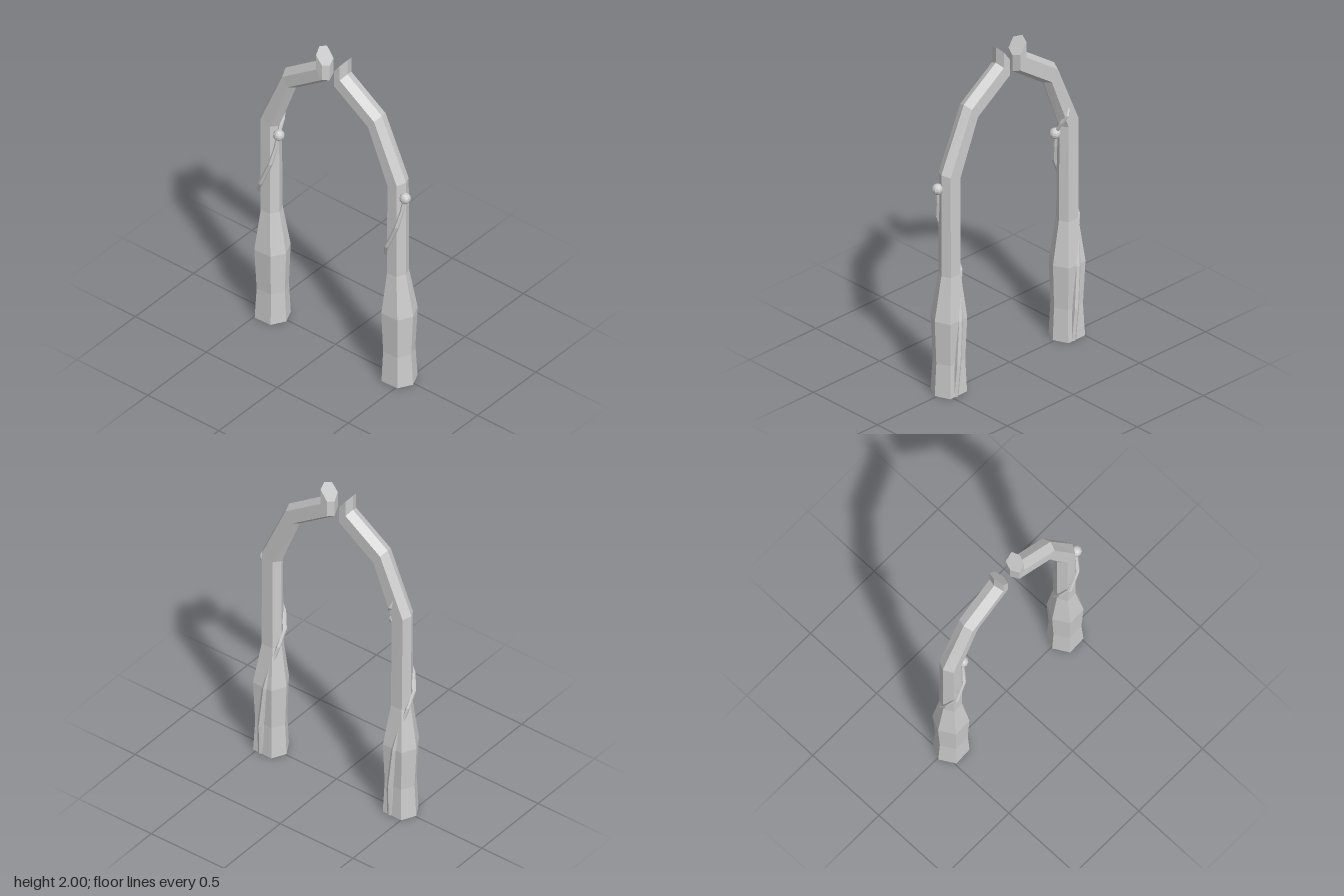
import * as THREE from 'three';

const material = new THREE.MeshStandardMaterial({ color: 0xcccccc, flatShading: true });

// Closed skin over rings of points; every ring has the same number of points.
function loft(name, rings) {
  const n = rings[0].length;
  const index = [];
  for (let i = 0; i < rings.length - 1; i++) {
    for (let j = 0; j < n; j++) {
      const a = i * n + j;
      const b = i * n + (j + 1) % n;
      index.push(a, b, b + n, a, b + n, a + n);
    }
  }
  const top = (rings.length - 1) * n;
  for (let j = 1; j < n - 1; j++) {
    index.push(0, j + 1, j, top, top + j, top + j + 1);
  }
  const geometry = new THREE.BufferGeometry();
  geometry.setAttribute('position', new THREE.Float32BufferAttribute(rings.flat(2), 3));
  geometry.setIndex(index);
  geometry.computeVertexNormals();
  const mesh = new THREE.Mesh(geometry, material);
  mesh.name = name;
  return mesh;
}

// Six-sided section: x offset, and position from the -z tip (0) to the +z tip (1)
const SECTION = [[0.05, 0.82], [0.05, 0.2], [0.002, 0], [-0.05, 0.25], [-0.047, 0.78], [0, 1]];

// Post rings: outer z, outer y, inner z, inner y, width scale, z shift on the back post
const PROFILE = [
  [0.555, 0, 0.35, 0, 1.68, 0.012],
  [0.543, 0.2, 0.36, 0.2, 1.5, 0.012],
  [0.555, 0.465, 0.35, 0.465, 1.7, 0.01],
  [0.505, 0.73, 0.385, 0.73, 1.05, 0],
  [0.505, 1.36, 0.385, 1.315, 1, -0.004],
  [0.335, 1.735, 0.26, 1.635, 1, -0.01],
  [0.093, 1.903, 0.02, 1.8, 1, -0.013],
  [0.093, 2, 0.02, 1.9, 1, -0.013],
];

function makePost(name, side) {
  return loft(name, PROFILE.map(([zo, yo, zi, yi, scale, shift]) => {
    const outer = [yo, side > 0 ? zo : shift - zo];
    const inner = [yi, side > 0 ? zi : shift - zi];
    const [from, to] = side > 0 ? [inner, outer] : [outer, inner];
    return SECTION.map(([x, s]) => [
      -0.011 + x * scale,
      THREE.MathUtils.lerp(from[0], to[0], s),
      THREE.MathUtils.lerp(from[1], to[1], s),
    ]);
  }));
}

// Vine centre line with radius: x, y, z, r
const VINE = [
  [0.062, 0, 0.47, 0.018],
  [0.077, 0.2, 0.463, 0.018],
  [0.068, 0.46, 0.44, 0.017],
  [0.042, 0.61, 0.42, 0.014],
  [0.015, 0.74, 0.388, 0.013],
  [-0.035, 0.83, 0.385, 0.013],
  [-0.072, 0.92, 0.42, 0.014],
  [-0.066, 1.08, 0.485, 0.015],
  [-0.043, 1.18, 0.503, 0.012],
  [-0.03, 1.27, 0.512, 0.01],
];
const TENDRIL = [
  [-0.03, 1.27, 0.512, 0.01],
  [0.012, 1.35, 0.505, 0.014],
  [0.039, 1.4, 0.49, 0.014],
  [0.036, 1.445, 0.475, 0.004],
];

function makeVine(name, path) {
  return loft(name, path.map(([x, y, z, r]) => Array.from({ length: 6 }, (_, i) => {
    const a = (i / 6) * Math.PI * 2;
    return [x + r * Math.cos(a), y, z - r * Math.sin(a)];
  })));
}

// Vine with its round bud
function makeVineGroup(name, withTendril) {
  const group = new THREE.Group();
  group.name = name;
  group.add(makeVine('vineStem', VINE));
  if (withTendril) group.add(makeVine('vineTendril', TENDRIL));
  const bud = new THREE.Mesh(new THREE.SphereGeometry(0.032, 10, 8), material);
  bud.name = 'vineBud';
  bud.position.set(-0.03, 1.27, 0.515);
  group.add(bud);
  return group;
}

export function createModel() {
  const model = new THREE.Group();
  model.name = 'brokenArch';

  // Two facing posts that lean together with a gap at the top
  model.add(makePost('frontPost', 1), makePost('backPost', -1));

  // The same vine climbs each post
  const backVine = makeVineGroup('backVine', true);
  backVine.position.z = -0.89;
  model.add(makeVineGroup('frontVine', false), backVine);

  return model;
}
